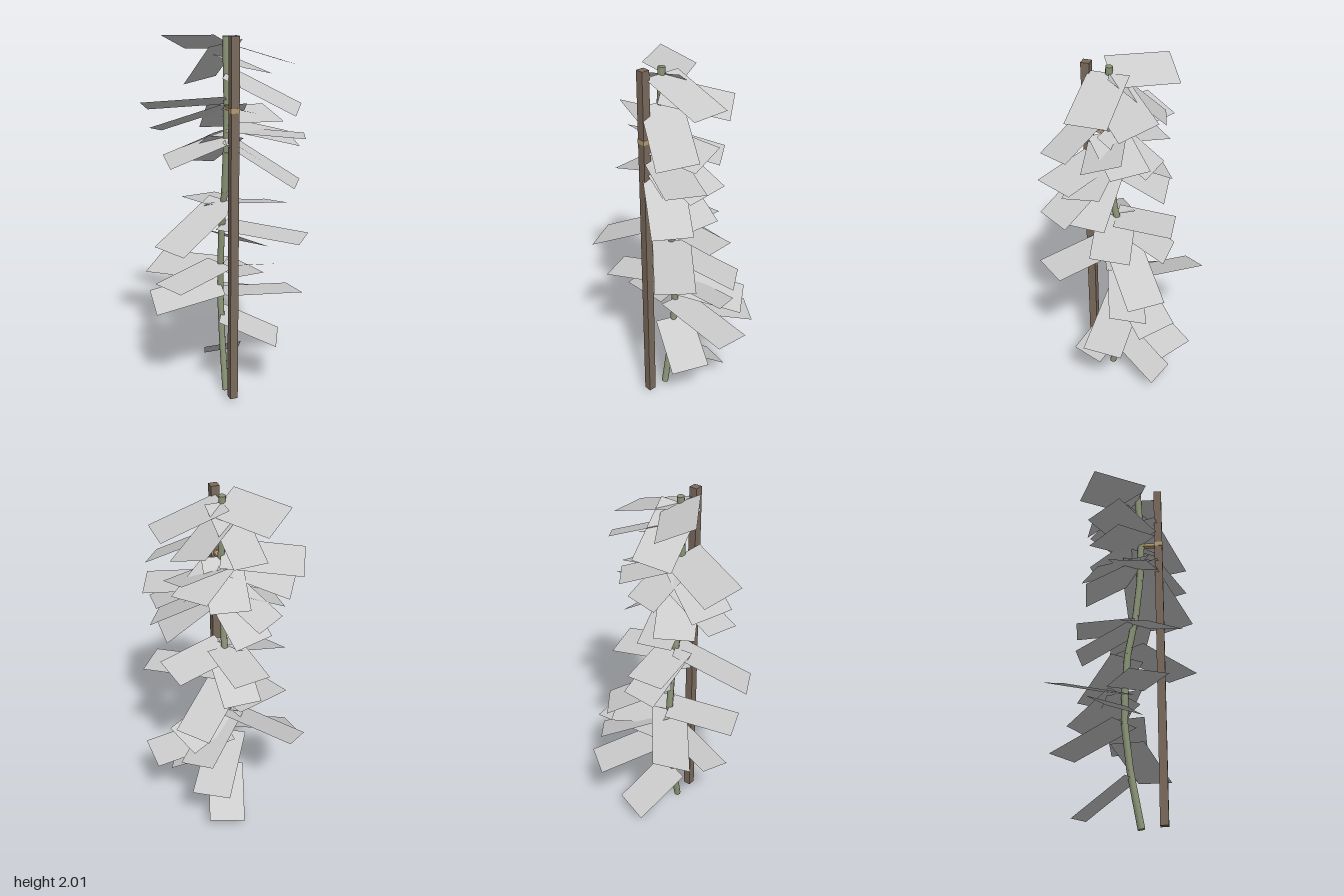
import * as THREE from 'three';

const STEM_X = -0.015;
const LEAF_WIDTH = 0.21;

// Each leaf: height on the stem, outward vector (x, y, z), sideways tilt
const upperLeaves = [
  [1.955, 0.35, -0.11, 0, 0],
  [1.96, -0.19, -0.02, -0.28, -0.4],
  [1.955, -0.045, -0.22, -0.28, 0.17],
  [1.87, 0.26, -0.07, -0.235, -0.3],
  [1.81, 0.325, -0.18, 0.175, -0.17],
  [1.67, -0.39, -0.035, -0.175, -0.33],
  [1.64, -0.33, -0.13, -0.18, -0.27],
  [1.65, 0.05, -0.17, -0.27, 0],
  [1.63, 0.245, -0.08, -0.2, -0.05],
  [1.6, 0.285, -0.02, -0.06, -0.3],
  [1.55, 0.37, -0.1, 0.02, -0.2],
  [1.52, 0.37, -0.03, 0.16, 0.05],
  [1.52, -0.17, -0.16, -0.27, 0],
  [1.48, -0.065, -0.19, -0.3, -0.18],
  [1.48, -0.31, -0.12, -0.05, 0.15],
  [1.47, 0.315, -0.22, 0.2, 0],
  [1.47, 0.33, -0.22, 0.02, 0],
];
const lowerLeaves = [
  [1.13, -0.365, -0.19, 0.185, 0.05],
  [1.12, 0.335, -0.05, -0.07, 0.15],
  [1.12, -0.04, -0.04, -0.31, 0],
  [1.11, 0.01, -0.17, -0.3, 0],
  [0.985, 0.355, -0.035, 0.285, 0],
  [0.93, 0.28, -0.17, -0.22, 0],
  [0.75, -0.35, -0.05, 0.15, 0],
  [0.73, 0.31, -0.07, -0.11, 0.3],
  [0.72, -0.285, -0.04, -0.335, 0.33],
  [0.71, 0.28, -0.11, -0.265, -0.26],
  [0.63, -0.375, -0.09, -0.06, 0.33],
  [0.58, 0.46, -0.05, -0.01, 0.1],
  [0.56, 0.235, -0.11, -0.365, 0],
  [0.45, 0.29, -0.14, 0.13, -0.12],
  [0.265, 0.095, -0.19, -0.28, 0.15],
];

// Stem centreline, bowing away from the stake, as [y, z]
const stemLine = [[0, 0.095], [0.3, 0.04], [0.55, 0.012], [0.75, 0.014], [0.95, 0.03],
  [1.18, 0.075], [1.4, 0.1], [1.65, 0.11], [1.99, 0.093]];

function stemZ(y) {
  for (let i = 1; i < stemLine.length; i++) {
    const [y0, z0] = stemLine[i - 1], [y1, z1] = stemLine[i];
    if (y <= y1) return z0 + (z1 - z0) * (y - y0) / (y1 - y0);
  }
  return stemLine.at(-1)[1];
}

// Flat rectangular leaf, joined to the stem at the middle of its inner edge
function makeLeaf([y, dx, dy, dz, tilt], material) {
  const out = new THREE.Vector3(dx, dy, dz);
  const length = out.length();
  const dir = out.clone().normalize();
  const level = new THREE.Vector3(-dz, 0, dx).normalize();
  const up = new THREE.Vector3().crossVectors(level, dir);
  if (up.y < 0) up.negate();
  const side = level.multiplyScalar(Math.sqrt(1 - tilt * tilt)).addScaledVector(up, tilt);
  const normal = new THREE.Vector3().crossVectors(dir, side);
  // Keep the front face on the upper side
  if (normal.y < 0) { side.negate(); normal.negate(); }
  const geometry = new THREE.PlaneGeometry(length, LEAF_WIDTH).translate(length / 2, 0, 0);
  geometry.applyMatrix4(new THREE.Matrix4().makeBasis(dir, side, normal));
  const leaf = new THREE.Mesh(geometry, material);
  leaf.position.set(STEM_X, y, stemZ(y));
  leaf.name = 'leaf';
  return leaf;
}

export function createModel() {
  const model = new THREE.Group();
  model.name = 'stakedPlant';
  const wood = new THREE.MeshStandardMaterial({ color: 0x7a6a5c });
  const green = new THREE.MeshStandardMaterial({ color: 0x8c9678 });
  const twine = new THREE.MeshStandardMaterial({ color: 0xb59c74 });
  const grey = new THREE.MeshStandardMaterial({ color: 0xcccccc, side: THREE.DoubleSide });

  const addBox = (name, material, size, position) => {
    const mesh = new THREE.Mesh(new THREE.BoxGeometry(...size), material);
    mesh.position.set(...position);
    mesh.name = name;
    model.add(mesh);
  };

  // Square stake in front of the stem
  addBox('stake', wood, [0.044, 1.985, 0.044], [STEM_X, 1.0075, 0.21]);

  // Tie: a band on the stake and a strap back to the stem
  addBox('tieBand', twine, [0.048, 0.024, 0.048], [STEM_X, 1.635, 0.21]);
  addBox('tieStrap', twine, [0.03, 0.016, 0.09], [STEM_X, 1.635, 0.145]);

  // Round stem built from straight segments
  const stem = new THREE.Group();
  stem.name = 'stem';
  for (let i = 1; i < stemLine.length; i++) {
    const a = new THREE.Vector3(STEM_X, ...stemLine[i - 1]);
    const b = new THREE.Vector3(STEM_X, ...stemLine[i]);
    const axis = b.clone().sub(a);
    const part = new THREE.Mesh(new THREE.CylinderGeometry(0.019, 0.019, axis.length(), 8), green);
    part.position.copy(a).add(b).multiplyScalar(0.5);
    part.quaternion.setFromUnitVectors(new THREE.Vector3(0, 1, 0), axis.normalize());
    part.name = 'stemSegment';
    stem.add(part);
  }
  model.add(stem);

  // Leaves
  const leaves = new THREE.Group();
  leaves.name = 'leaves';
  for (const spec of [...upperLeaves, ...lowerLeaves]) leaves.add(makeLeaf(spec, grey));
  model.add(leaves);

  return model;
}
